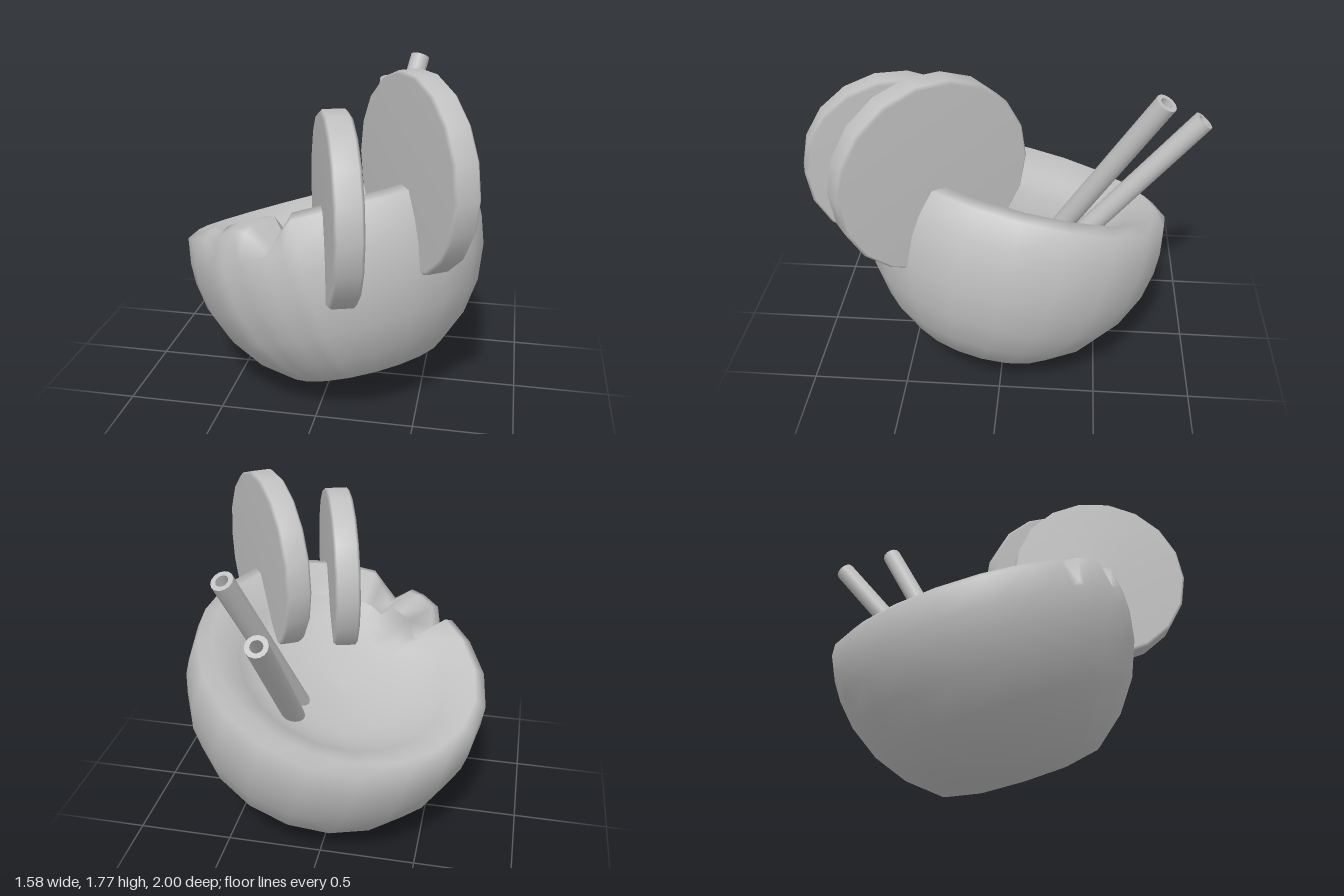
import * as THREE from 'three';

const UP = new THREE.Vector3(0, 1, 0);
const RAD = Math.PI / 180;
const STEP = 18;

// Surface of revolution closed around its axis; point(row, angle) -> [r, h]
function ringSurface(angles, rows, point) {
  const n = angles.length, pos = [], index = [];
  for (let j = 0; j < rows; j++) {
    for (const a of angles) {
      // extra angles stay on the straight sides of the 20-sided outline
      const flat = Math.cos(STEP / 2 * RAD) / Math.cos((a % STEP - STEP / 2) * RAD);
      const [r, h] = point(j, a);
      pos.push(r * flat * Math.cos(a * RAD), h, r * flat * Math.sin(a * RAD));
    }
  }
  for (let j = 0; j < rows - 1; j++) {
    for (let i = 0; i < n; i++) {
      const k = (i + 1) % n;
      const a = j * n + i, b = j * n + k, c = a + n, d = b + n;
      index.push(a, c, b, b, c, d);
    }
  }
  const g = new THREE.BufferGeometry();
  g.setAttribute('position', new THREE.Float32BufferAttribute(pos, 3));
  g.setIndex(index);
  g.computeVertexNormals();
  return g;
}

const lathe = (points, segments) =>
  new THREE.LatheGeometry(points.map(([x, y]) => new THREE.Vector2(x, y)), segments);

export function createModel() {
  const model = new THREE.Group();
  model.name = 'fruitCup';
  const grey = new THREE.MeshStandardMaterial({ color: 0xc0c0c0, side: THREE.DoubleSide });
  grey.name = 'plain grey';

  const add = (name, geometry, parent = model) => {
    const mesh = new THREE.Mesh(geometry, grey);
    mesh.name = name;
    parent.add(mesh);
    return mesh;
  };

  // Tilted bowl
  const bowl = new THREE.Group();
  bowl.name = 'bowl';
  bowl.position.set(0, 0.775, -0.055);
  bowl.quaternion.setFromUnitVectors(UP, new THREE.Vector3(-0.29, 0.93, -0.225).normalize());
  model.add(bowl);

  // Rim notches beside a small tab: angle -> [drop of the rim, raise of the inner lip]
  const notch = { 95: [0.05, 0], 102: [0.13, -0.03], 108: [0.01, 0.09], 114: [-0.01, 0.1],
    122: [0, 0.09], 126: [0.11, -0.03], 131: [0, 0] };
  const angles = Array.from({ length: 360 / STEP }, (_, i) => i * STEP);
  angles.push(95, 102, 114, 122, 131);
  angles.sort((a, b) => a - b);

  // Round outside with a flattened base
  const R = 0.79;
  const outer = [[0, -0.715], [0.24, -0.705]];
  [32, 47, 61, 75, 86, 94].forEach((t) => outer.push([R * Math.sin(t * RAD), -R * Math.cos(t * RAD)]));
  const rim = [[0.767, 0.19], [0.7, 0.222], [0.55, 0.12]];
  const rimPoint = (j, a) => {
    const [drop, raise] = notch[a] || [0, 0];
    const [r, h] = rim[j];
    if (j === 2) return [r - Math.max(raise, 0) * 0.5, h + raise];
    return [r, h - drop * (j === 1 ? 1.15 : 1)];
  };
  add('bowlShell', ringSurface(angles, outer.length + rim.length, (j, a) =>
    (j < outer.length ? outer[j] : rimPoint(j - outer.length, a))), bowl);

  // Shallow dished filling inside the lip
  const dish = [[0.47, 0.062], [0.37, 0.028], [0.25, 0], [0.12, -0.018], [0, -0.024]];
  add('filling', ringSurface(angles, dish.length + 1, (j, a) =>
    (j === 0 ? rimPoint(2, a) : dish[j - 1])), bowl);

  // Fruit slices standing on edge across the rim, with softened edges
  const addSlice = (name, r, centre, yaw) => {
    const t = 0.068, b = 0.015;
    const g = lathe([[0, -t], [r - b, -t], [r, b - t], [r, t - b], [r - b, t], [0, t]], 18);
    g.rotateX(Math.PI / 2);
    g.rotateZ(STEP / 2 * RAD);
    g.rotateY(yaw);
    add(name, g).position.set(...centre);
  };
  addSlice('frontSlice', 0.462, [0.115, 1.16, 0.55], Math.atan2(0.95, -0.31));
  addSlice('sideSlice', 0.487, [0.457, 1.285, 0.322], Math.atan2(0.83, -0.56));

  // Hollow straws
  const addStraw = (name, from, to) => {
    const a = new THREE.Vector3(...from), dir = new THREE.Vector3(...to).sub(a);
    const L = dir.length(), r = 0.053, ri = 0.03;
    // repeated corner points keep the cut end crisp
    const mesh = add(name, lathe([[r, 0], [r, L], [r, L], [ri, L], [ri, L], [ri, 0]], 14));
    mesh.position.copy(a);
    mesh.quaternion.setFromUnitVectors(UP, dir.normalize());
  };
  addStraw('backStraw', [0.15, 0.75, -0.38], [0.152, 1.455, -0.957]);
  addStraw('sideStraw', [0.155, 0.75, -0.245], [0.357, 1.64, -0.748]);

  return model;
}
